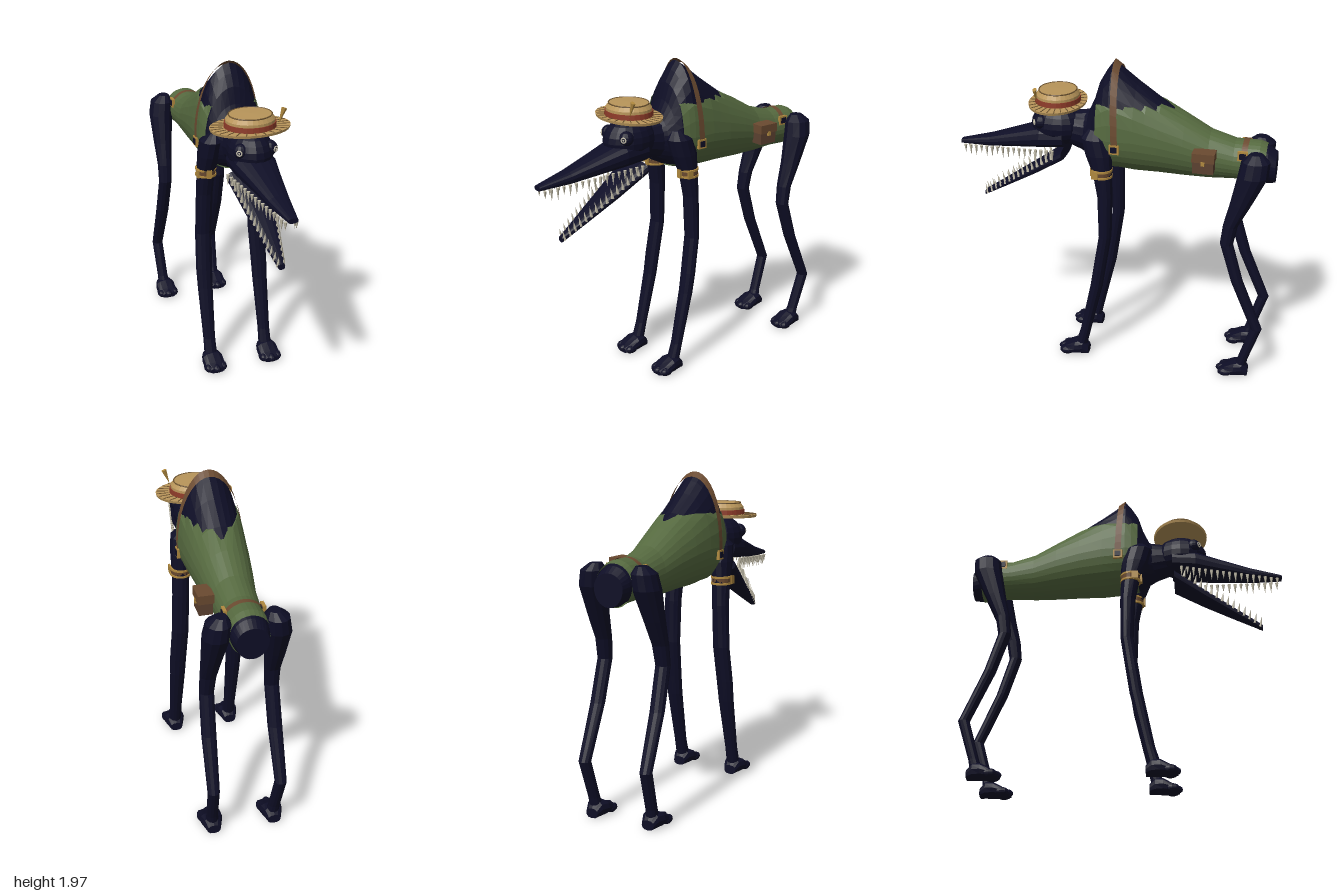
import * as THREE from 'three';

const mat = (name, color) => Object.assign(new THREE.MeshStandardMaterial({ color, flatShading: true, side: THREE.DoubleSide }), { name });
const hide = mat('darkHide', 0x0e0e26), coatGreen = mat('coatGreen', 0x55693f), leather = mat('strapLeather', 0x6a4a30),
  pouchBrown = mat('pouchBrown', 0x5c4130), straw = mat('straw', 0xb8955a), gold = mat('brass', 0xb0893f),
  red = mat('hatBand', 0x8c3a28), ivory = mat('ivory', 0xbfb9a6), rib = mat('strawShadow', 0x6e5430);

const mesh = (name, geo, m, parent, pos = [0, 0, 0]) => {
  const o = new THREE.Mesh(geo, m);
  o.name = name;
  o.position.set(...pos);
  parent.add(o);
  return o;
};
const box = (name, size, pos, m, parent) => mesh(name, new THREE.BoxGeometry(...size), m, parent, pos);

// Skin a list of point rows; closed rows wrap round, caps fill the two ends
function loft(rows, closed = true, caps = true) {
  const n = rows[0].length, pos = rows.flat(2), idx = [];
  for (let i = 0; i < rows.length - 1; i++)
    for (let j = 0; j < (closed ? n : n - 1); j++) {
      const a = i * n + j, b = i * n + (j + 1) % n;
      idx.push(a, a + n, b, b, a + n, b + n);
    }
  if (closed && caps) {
    const e = (rows.length - 1) * n;
    for (let j = 1; j < n - 1; j++) idx.push(0, j, j + 1, e, e + j + 1, e + j);
  }
  const g = new THREE.BufferGeometry();
  g.setAttribute('position', new THREE.Float32BufferAttribute(pos, 3));
  g.setIndex(idx);
  g.computeVertexNormals();
  return g;
}
const angles = (n, f) => Array.from({ length: n }, (_, j) => f(j / n * Math.PI * 2));

// Upright ring; p below 1 makes it boxier
const ring = ([z, top, bot, w, x = 0], p = 1, n = 16) => angles(n, (a) => {
  const c = Math.cos(a), s = Math.sin(a), sq = (v) => Math.sign(v) * Math.abs(v) ** p;
  return [x + w * sq(c), (top + bot) / 2 + (top - bot) / 2 * sq(s), z];
});
// Limb through horizontal rings [x, y, z, rx, rz], going down
const limb = (rows, side) => loft(rows.map(([x, y, z, rx, rz]) =>
  angles(12, (a) => [side * x + rx * Math.cos(a), y, z - rz * Math.sin(a)])));

// Body profile: z, top, widest height, bottom, half width
const BODY = [
  [0.21, 1.62, 1.51, 1.38, 0.08], [0.15, 1.65, 1.51, 1.35, 0.12], [0.11, 1.74, 1.52, 1.33, 0.15], [0.08, 1.84, 1.52, 1.32, 0.175],
  [0.04, 1.91, 1.52, 1.31, 0.185], [0, 1.965, 1.52, 1.3, 0.19], [-0.06, 1.92, 1.52, 1.3, 0.19], [-0.15, 1.85, 1.52, 1.29, 0.185],
  [-0.3, 1.745, 1.5, 1.29, 0.17], [-0.45, 1.66, 1.47, 1.285, 0.15], [-0.6, 1.575, 1.43, 1.285, 0.127],
  [-0.75, 1.53, 1.41, 1.295, 0.115], [-0.9, 1.53, 1.41, 1.29, 0.115], [-0.95, 1.51, 1.4, 1.275, 0.11], [-1, 1.475, 1.39, 1.28, 0.095]];
function bodyAt(z) {
  const i = Math.max(0, Math.min(BODY.length - 2, BODY.findIndex((r) => r[0] <= z) - 1));
  const t = (BODY[i][0] - z) / (BODY[i][0] - BODY[i + 1][0]);
  return BODY[i].map((v, k) => v + (BODY[i + 1][k] - v) * t);
}
const bodyPoint = (z, a, out, cap = 9) => {
  const [, top, mid, bot, w] = bodyAt(z), s = Math.sin(a);
  return [(w + out) * Math.cos(a), Math.min(cap, mid + s * (s > 0 ? top - mid + out : mid - bot + out)), z];
};

// Strap over the back with a square buckle at each lower end
function strap(name, zTop, zEnd, width, a0, parent) {
  const rows = [-1, 1].map((e) => Array.from({ length: 25 }, (_, j) => {
    const a = a0 + (Math.PI - 2 * a0) * j / 24;
    return bodyPoint(zEnd + (zTop - zEnd) * Math.max(0, Math.sin(a)) - e * width / 2, a, 0.012);
  }));
  mesh(name, loft(rows, false), leather, parent);
  for (const s of [1, -1]) {
    const [x, y] = bodyPoint(zEnd, a0, 0.012);
    box('buckleFrame', [0.018, 0.058, 0.06], [s * x, y, zEnd], gold, parent);
    box('buckleCentre', [0.026, 0.036, 0.038], [s * x, y, zEnd], hide, parent);
  }
}

function buildHead(root) {
  const head = new THREE.Group();
  head.name = 'head';
  root.add(head);
  mesh('skull', new THREE.SphereGeometry(1, 18, 12), hide, head, [0, 1.535, 0.355]).scale.set(0.135, 0.135, 0.17);
  const upper = [[1, 1.375, 1.345, 0.03], [0.8, 1.425, 1.35, 0.065], [0.6, 1.49, 1.37, 0.1], [0.45, 1.54, 1.385, 0.13], [0.3, 1.55, 1.4, 0.13]];
  mesh('upperJaw', loft(upper.map((r) => ring(r, 0.8))), hide, head);
  const lower = [[0.86, 1.03, 0.995, 0.02], [0.7, 1.135, 1.085, 0.055], [0.5, 1.27, 1.2, 0.095], [0.31, 1.4, 1.32, 0.13]];
  mesh('lowerJaw', loft(lower.map((r) => ring(r, 0.7))), hide, head);
  for (const s of [1, -1]) {
    // Tooth rows along both jaws
    for (let i = 0; i < 17; i++) {
      const t = i / 16, z = 0.97 - 0.61 * t, len = 0.05 + 0.025 * Math.abs(Math.sin(i * 2.1));
      const u = mesh('upperTooth', new THREE.ConeGeometry(0.011, len, 6), ivory, head, [s * (0.033 + 0.105 * t), 1.345 + 0.055 * t - len / 2, z]);
      u.rotation.x = Math.PI;
    }
    for (let i = 0; i < 15; i++) {
      const t = i / 14, z = 0.85 - 0.47 * t;
      const l = mesh('lowerTooth', new THREE.ConeGeometry(0.011, 0.07, 6), ivory, head, [s * (0.017 + 0.1 * t), 1.045 + 0.325 * t, z]);
      l.rotation.x = 0.2;
    }
    // Bulging eye with a pale iris ring
    const eye = new THREE.Group();
    eye.name = 'eye';
    eye.position.set(s * 0.09, 1.57, 0.44);
    eye.rotation.y = s * 0.55;
    head.add(eye);
    mesh('eyeball', new THREE.SphereGeometry(0.045, 14, 10), hide, eye);
    mesh('iris', new THREE.TorusGeometry(0.015, 0.004, 6, 14), ivory, eye, [0, 0, 0.043]);
    mesh('pupilGlint', new THREE.SphereGeometry(0.006, 8, 6), ivory, eye, [0, 0, 0.045]);
  }
}

function buildHat(root) {
  const hat = new THREE.Group();
  hat.name = 'hat';
  hat.position.set(0, 1.67, 0.355);
  hat.scale.z = 0.715;
  root.add(hat);
  mesh('brim', new THREE.CylinderGeometry(0.245, 0.24, 0.016, 32), straw, hat, [0, 0.008, 0]);
  const profile = [[0.15, 0.01], [0.148, 0.062], [0.128, 0.088], [0, 0.092]].map(([x, y]) => new THREE.Vector2(x, y));
  const crown = mesh('crown', new THREE.LatheGeometry(profile, 28), straw, hat);
  crown.scale.z = 1.25;
  mesh('hatBand', new THREE.CylinderGeometry(0.154, 0.157, 0.03, 28), red, hat, [0, 0.031, 0]).scale.z = 1.25;
  mesh('crownSeam', new THREE.TorusGeometry(0.129, 0.004, 6, 28).rotateX(Math.PI / 2), rib, hat, [0, 0.088, 0]).scale.z = 1.25;
  for (const a of angles(26, (v) => v)) {
    const r = box('brimRib', [0.075, 0.004, 0.006], [0.203 * Math.cos(a), 0.017, 0.203 * Math.sin(a)], rib, hat);
    r.rotation.y = -a;
  }
  // Small feather tucked in the band
  const feather = mesh('feather', new THREE.ConeGeometry(0.018, 0.1, 6), gold, hat, [0.155, 0.085, 0.13]);
  feather.rotation.z = Math.PI - 0.35;
}

function buildLegs(root) {
  const front = [[0.13, 1.57, 0.09, 0.03, 0.04], [0.145, 1.52, 0.085, 0.07, 0.085], [0.155, 1.42, 0.06, 0.068, 0.085], [0.165, 1.3, 0.035, 0.056, 0.06],
    [0.17, 1.15, 0.018, 0.054, 0.048], [0.178, 0.88, 0.015, 0.055, 0.04], [0.187, 0.65, 0.05, 0.054, 0.04], [0.188, 0.52, 0.07, 0.05, 0.04],
    [0.19, 0.18, 0.145, 0.04, 0.034], [0.19, 0.05, 0.18, 0.043, 0.04]];
  const hind = [[0.15, 1.51, -0.89, 0.035, 0.04], [0.165, 1.47, -0.89, 0.072, 0.085], [0.175, 1.38, -0.88, 0.08, 0.09], [0.185, 1.2, -0.82, 0.062, 0.065],
    [0.19, 1.05, -0.765, 0.05, 0.045], [0.195, 0.93, -0.748, 0.045, 0.04], [0.2, 0.68, -0.825, 0.045, 0.037], [0.205, 0.36, -0.963, 0.037, 0.035],
    [0.195, 0.12, -0.89, 0.036, 0.032], [0.19, 0.05, -0.87, 0.042, 0.04]];
  const foot = [[0.31, 0.04, 0.004, 0.05], [0.27, 0.06, 0, 0.07], [0.21, 0.095, 0, 0.07], [0.16, 0.1, 0, 0.055], [0.125, 0.06, 0, 0.04]];
  for (const s of [1, -1]) {
    for (const [name, rows, dz] of [['front', front, 0], ['hind', hind, -1.05]]) {
      mesh(name + 'Leg', limb(rows, s), hide, root);
      mesh(name + 'Foot', loft(foot.map(([z, t, b, w]) => ring([z + dz, t, b, w, s * 0.19], 0.8, 12))), hide, root);
      for (const k of [-1, 0, 1])
        mesh(name + 'Toe', new THREE.SphereGeometry(1, 10, 8), hide, root, [s * 0.19 + k * 0.048, 0.027, 0.285 + dz - Math.abs(k) * 0.02]).scale.set(0.027, 0.027, 0.045);
    }
    // Cuff with two brass rims and a buckle
    const cuff = new THREE.Group();
    cuff.name = 'legCuff';
    cuff.position.set(s * 0.165, 1.305, 0.037);
    root.add(cuff);
    mesh('cuffBand', new THREE.CylinderGeometry(0.063, 0.06, 0.045, 16, 1, true), leather, cuff);
    for (const y of [-0.02, 0.02]) mesh('cuffRim', new THREE.CylinderGeometry(0.066, 0.066, 0.013, 16), gold, cuff, [0, y, 0]);
    box('cuffBuckle', [0.03, 0.055, 0.012], [0, 0, 0.066], gold, cuff);
    box('cuffClasp', [0.01, 0.05, 0.04], [s * 0.062, 0, 0.03], gold, cuff);
  }
}

export function createModel() {
  const root = new THREE.Group();
  root.name = 'creature';

  // Body with the hump, and the coat that leaves the hump bare
  mesh('body', loft(BODY.map((r) => angles(28, (a) => bodyPoint(r[0], a, -0.002)))), hide, root);
  const coatZ = [0.08, 0.04, 0, -0.06, -0.15, -0.22, -0.3, -0.45, -0.6, -0.75, -0.9, -0.94];
  mesh('coat', loft(coatZ.map((z) => angles(28, (a) => bodyPoint(z, a, 0.006, 1.735))), true, false), coatGreen, root);
  mesh('neck', loft([[0.3, 1.62, 1.42, 0.09], [0.14, 1.645, 1.36, 0.11]].map((r) => ring(r))), hide, root);

  strap('shoulderStrap', -0.025, -0.045, 0.04, -0.2, root);
  strap('hipStrap', -0.815, -0.805, 0.035, 0.5, root);

  // Side pouch on the model's left
  const pouch = new THREE.Group();
  pouch.name = 'pouch';
  pouch.position.set(0.172, 1.44, -0.585);
  root.add(pouch);
  box('pouchBody', [0.08, 0.11, 0.125], [0, -0.007, 0], pouchBrown, pouch);
  box('pouchFlap', [0.094, 0.055, 0.135], [0, 0.037, 0], leather, pouch);
  box('pouchClasp', [0.012, 0.026, 0.022], [0.046, 0.005, 0], gold, pouch);

  buildHead(root);
  buildHat(root);
  buildLegs(root);
  return root;
}
